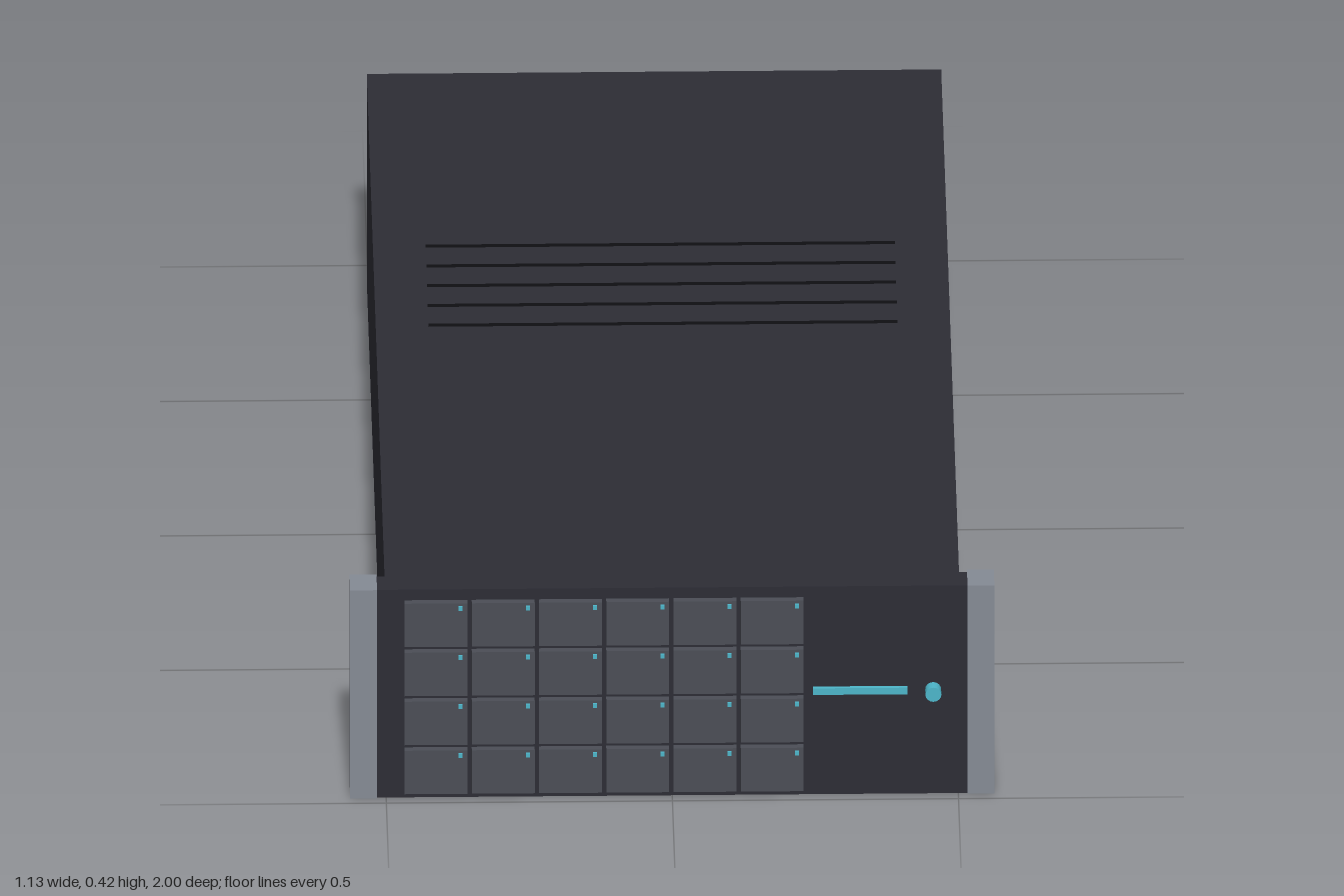
import * as THREE from 'three';

const material = (name, color, extra = {}) =>
  Object.assign(new THREE.MeshStandardMaterial({ color, ...extra }), { name });

export function createModel() {
  const charcoal = material('charcoal', 0x2d2d35);
  const steel = material('steel grey', 0x858b95);
  const slate = material('slate grey', 0x4b4e56);
  const cyan = material('cyan', 0x4db6ca);
  const black = material('black', 0x121215, { side: THREE.DoubleSide });

  const group = new THREE.Group();
  group.name = 'rackServer';
  const add = (name, geometry, mat, x, y, z) => {
    const mesh = new THREE.Mesh(geometry, mat);
    mesh.name = name;
    mesh.position.set(x, y, z);
    group.add(mesh);
    return mesh;
  };
  // Box given by its minimum and maximum along each axis
  const box = (name, mat, [x0, x1], [y0, y1], [z0, z1]) =>
    add(name, new THREE.BoxGeometry(x1 - x0, y1 - y0, z1 - z0), mat,
      (x0 + x1) / 2, (y0 + y1) / 2, (z0 + z1) / 2);

  // Case and front panel
  box('chassis', charcoal, [-0.502, 0.502], [0.002, 0.41], [-0.942, 0.93]);
  box('frontPanel', charcoal, [-0.517, 0.517], [0, 0.411], [0.93, 0.979]);

  // Mounting ears
  box('rightEar', steel, [-0.563, -0.516], [0, 0.412], [0.923, 0.982]);
  box('leftEar', steel, [0.516, 0.563], [0, 0.412], [0.923, 0.982]);

  // Drive bays, six columns by four rows, each with a status light
  for (let row = 0; row < 4; row++) {
    for (let col = 0; col < 6; col++) {
      const x = -0.413 + col * 0.1175;
      const y = 0.056 + row * 0.097;
      add('driveBay', new THREE.BoxGeometry(0.11, 0.086, 0.014), slate, x, y, 0.985);
      add('driveLight', new THREE.BoxGeometry(0.007, 0.008, 0.006), cyan, x + 0.043, y + 0.034, 0.993);
    }
  }

  // Front light bar and power button
  box('lightBar', cyan, [0.246, 0.411], [0.2, 0.213], [0.977, 0.986]);
  add('powerButton', new THREE.CylinderGeometry(0.014, 0.014, 0.024, 16), cyan, 0.456, 0.206, 0.988)
    .rotation.x = Math.PI / 2;

  // Upright vent fins across the top
  for (let i = 0; i < 5; i++) {
    add('ventFin', new THREE.PlaneGeometry(0.82, 0.012), black, 0, 0.41, -0.294 + i * 0.0735);
  }

  // Rear power supplies with status lights
  for (const x of [-0.375, 0.375]) {
    box('powerSupply', steel, [x - 0.094, x + 0.094], [0.005, 0.1], [-0.99, -0.94]);
    add('supplyLight', new THREE.CylinderGeometry(0.008, 0.008, 0.014, 12), cyan, x + 0.067, 0.03, -0.993)
      .rotation.x = Math.PI / 2;
  }
  return group;
}
